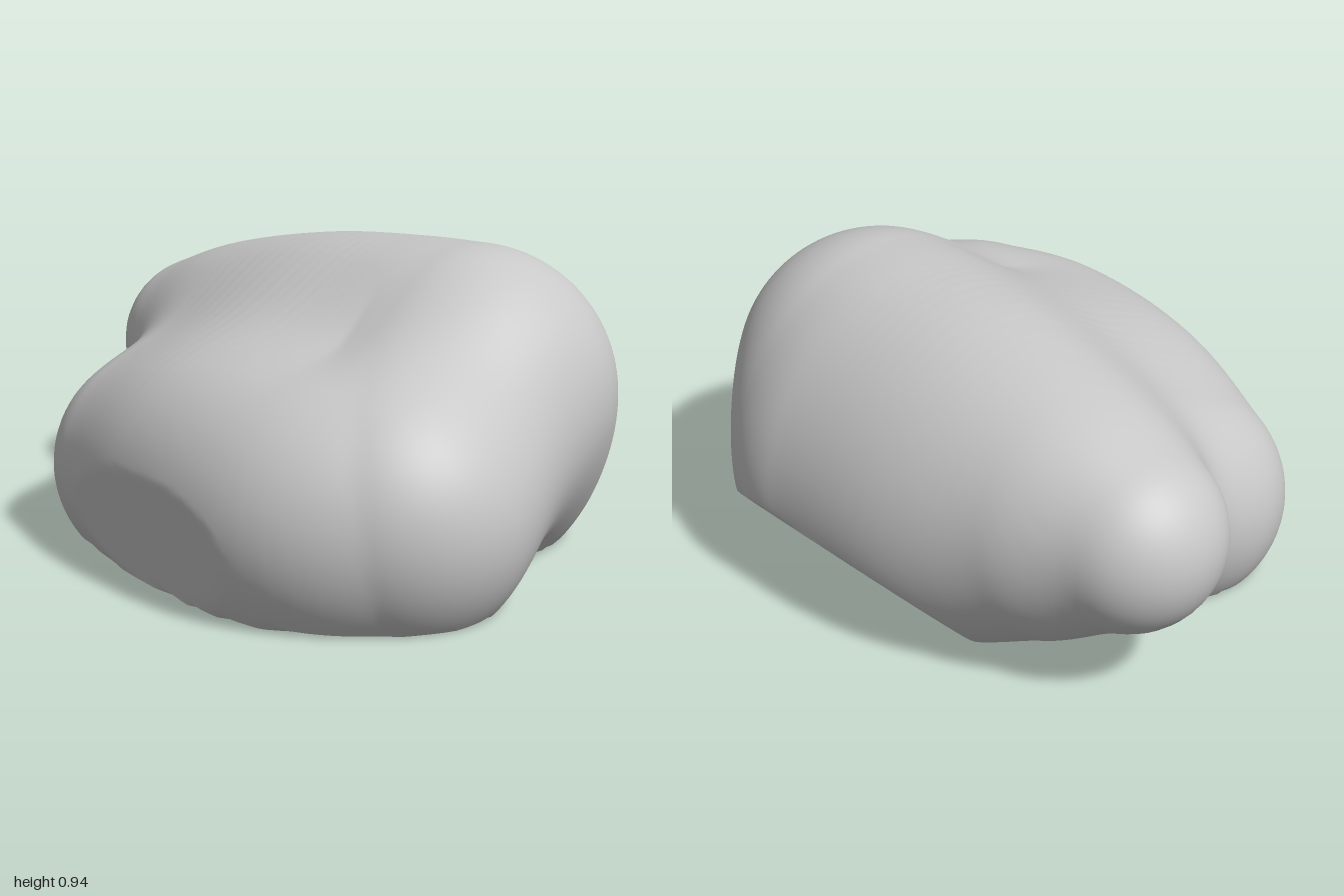
import * as THREE from 'three';
import { toCreasedNormals } from 'three/addons/utils/BufferGeometryUtils.js';

// Each lobe is a chain of spheres [x, y, z, radius], swept along a smooth path.
const upperLobe = [[-0.72, 0.475, -0.3, 0.28], [-0.45, 0.48, -0.28, 0.365], [-0.08, 0.48, -0.25, 0.435], [0.25, 0.47, -0.23, 0.47], [0.45, 0.495, -0.22, 0.45]];
const backLobe = [[-0.4, 0.39, -0.34, 0.345], [-0.1, 0.34, -0.36, 0.43], [0.3, 0.31, -0.35, 0.465]];
const frontLobe = [[-0.37, 0.22, 0.24, 0.36], [0, 0.24, 0.31, 0.43], [0.38, 0.24, 0.395, 0.42], [0.585, 0.27, 0.3, 0.41]];

// Flat cuts as [normal, offset]: floor, slanted underside at the back, front patch.
const cuts = [
  [new THREE.Vector3(0, -1, 0), 0],
  [new THREE.Vector3(0, -0.683, -0.73), 0.387],
  [new THREE.Vector3(-0.23, -0.17, 0.95), 0.645],
];

function fillChain(keys, count = 32) {
  const path = new THREE.CatmullRomCurve3(keys.map(([x, y, z]) => new THREE.Vector3(x, y, z)), false, 'catmullrom');
  const radius = new THREE.CatmullRomCurve3(keys.map(([, , , r]) => new THREE.Vector3(r, 0, 0)), false, 'catmullrom');
  return Array.from({ length: count + 1 }, (_, i) => {
    const { x, y, z } = path.getPoint(i / count);
    return [x, y, z, radius.getPoint(i / count).x];
  });
}

function chainDistance(spheres, p) {
  let best = Infinity;
  for (const [x, y, z, r] of spheres) {
    best = Math.min(best, Math.sqrt((p.x - x) ** 2 + (p.y - y) ** 2 + (p.z - z) ** 2) - r);
  }
  return best;
}

function smoothMin(a, b, k) {
  const h = Math.max(k - Math.abs(a - b), 0) / k;
  return Math.min(a, b) - h * h * k / 4;
}

function rockGeometry() {
  const [upper, back, front] = [upperLobe, backLobe, frontLobe].map((keys) => fillChain(keys));
  const distance = (p) => smoothMin(
    smoothMin(chainDistance(upper, p), chainDistance(back, p), 0.12),
    chainDistance(front, p), 0.3);

  const geometry = new THREE.SphereGeometry(1, 220, 140);
  geometry.deleteAttribute('uv');
  const position = geometry.attributes.position;
  const centre = new THREE.Vector3(0.1, 0.35, 0);
  const dir = new THREE.Vector3();
  const p = new THREE.Vector3();

  // Push every vertex out to the blended surface, then stop it at the flat cuts
  for (let i = 0; i < position.count; i++) {
    dir.fromBufferAttribute(position, i).normalize();
    let near = 0;
    let far = 1.7;
    for (let s = 0; s < 20; s++) {
      const mid = (near + far) / 2;
      p.copy(centre).addScaledVector(dir, mid);
      if (distance(p) < 0) near = mid;
      else far = mid;
    }
    let reach = near;
    for (const [normal, offset] of cuts) {
      const slope = normal.dot(dir);
      if (slope > 1e-6) reach = Math.min(reach, (offset - normal.dot(centre)) / slope);
    }
    p.copy(centre).addScaledVector(dir, reach);
    position.setXYZ(i, p.x, p.y, p.z);
  }
  return toCreasedNormals(geometry, 0.6);
}

export function createModel() {
  const group = new THREE.Group();
  group.name = 'boulder';
  const stone = new THREE.MeshStandardMaterial({ color: 0xc8c8c8 });
  stone.name = 'grey stone';
  const rock = new THREE.Mesh(rockGeometry(), stone);
  rock.name = 'rock';
  group.add(rock);
  return group;
}
